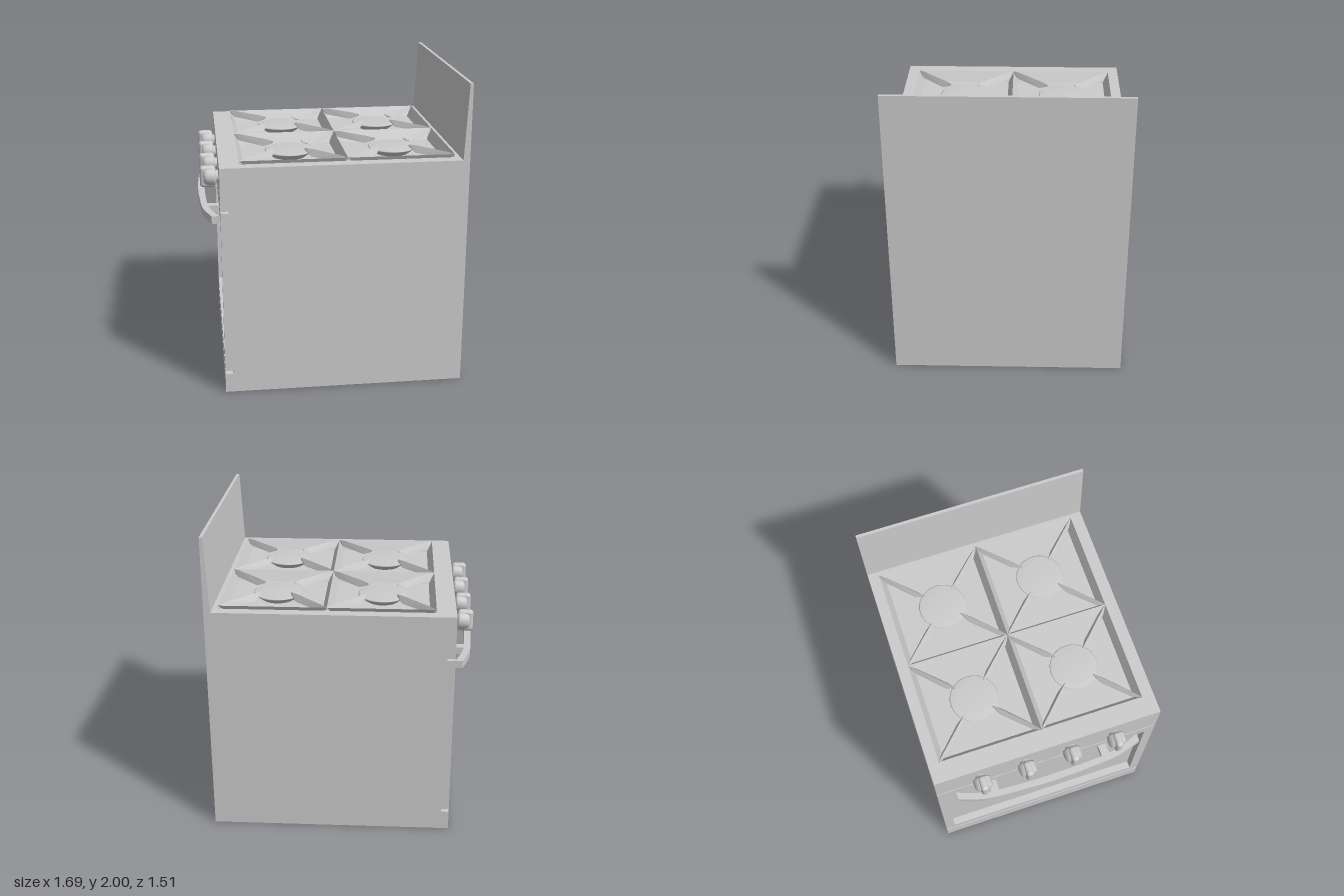
import * as THREE from 'three';
import { ConvexGeometry } from 'three/addons/geometries/ConvexGeometry.js';
import { RoundedBoxGeometry } from 'three/addons/geometries/RoundedBoxGeometry.js';

const flat = new THREE.MeshStandardMaterial({ color: 0xcccccc, flatShading: true });
const smooth = new THREE.MeshStandardMaterial({ color: 0xcccccc });
const sheet = new THREE.MeshStandardMaterial({ color: 0xcccccc, flatShading: true, side: THREE.DoubleSide });

const V2 = (x, y) => new THREE.Vector2(x, y);
const polygon = (pts) => new THREE.Shape(pts.map((p) => V2(...p)));
const rect = (x0, y0, x1, y1) => polygon([[x0, y0], [x1, y0], [x1, y1], [x0, y1]]);
const extrude = (shape, depth) => new THREE.ExtrudeGeometry(shape, { depth, bevelEnabled: false });

function add(parent, name, geometry, material, x = 0, y = 0, z = 0) {
  const mesh = new THREE.Mesh(geometry, material);
  mesh.name = name;
  mesh.position.set(x, y, z);
  parent.add(mesh);
  return mesh;
}

const HALF_Z = 0.755, DECK = 1.515, FLOOR = 1.465, RIM = 1.535;
const FRONT = -0.715, INNER = -0.665;
const CELL = 0.339, MID_X = 0.088, MID_Z = -0.005;

// Cabinet with splashback, a side profile run across the width
function addBody(stove) {
  const profile = polygon([
    [FRONT, 0], [0.845, 0], [0.845, 2], [0.825, 2], [0.802, DECK], [0.802, FLOOR], [FRONT, FLOOR],
    [FRONT, 1.24], [INNER, 1.24], [INNER, 0.128], [FRONT, 0.128],
  ]);
  add(stove, 'cabinet', extrude(profile, HALF_Z * 2), flat, 0, 0, -HALF_Z);

  // Rim of the hob around the sunken pans
  const deck = rect(FRONT, -HALF_Z, 0.802, HALF_Z);
  deck.holes.push(rect(MID_X - 2 * CELL, -MID_Z - 2 * CELL, MID_X + 2 * CELL, -MID_Z + 2 * CELL));
  add(stove, 'hobDeck', extrude(deck, DECK - FLOOR).rotateX(-Math.PI / 2), flat, 0, FLOOR, 0);

  // Oven door with recessed window
  const door = rect(-HALF_Z, 0.15, HALF_Z, 1.225);
  door.holes.push(rect(-0.69, 0.215, 0.69, 1.14));
  add(stove, 'ovenDoor', extrude(door, INNER - FRONT).rotateY(-Math.PI / 2), flat, INNER, 0, 0);
}

// Bowed handle on two posts
function addHandle(stove) {
  const handle = new THREE.Group();
  handle.name = 'doorHandle';
  const mirrorCurve = (half) => {
    const pts = [...half.map(([x, z]) => V2(x, -z)), ...half.slice(0, -1).reverse().map(([x, z]) => V2(x, z))];
    return new THREE.SplineCurve(pts).getPoints(20);
  };
  const outer = mirrorCurve([[-0.768, 0.63], [-0.82, 0.46], [-0.838, 0.24], [-0.846, 0]]);
  const inner = mirrorCurve([[-0.72, 0.63], [-0.765, 0.5], [-0.79, 0.36], [-0.802, 0]]);
  const bar = new THREE.Shape([...outer, ...inner.reverse()]);
  add(handle, 'handleBar', extrude(bar, 0.05).rotateX(Math.PI / 2), flat, 0, 1.17, 0);
  for (const s of [-1, 1]) {
    add(handle, 'handlePost', new THREE.BoxGeometry(0.09, 0.046, 0.055), flat, -0.758, 1.145, s * 0.385);
  }
  stove.add(handle);
}

// Four knobs along the control panel, each a turned cap with a grip bar
function addKnobs(stove) {
  const turned = [[0, 0.095], [0.04, 0.095], [0.052, 0.085], [0.057, 0.07], [0.06, 0.03], [0.055, 0.018],
    [0.036, 0.015], [0.036, 0]].reverse().map((p) => V2(...p));
  const cap = new THREE.LatheGeometry(turned, 24).rotateZ(Math.PI / 2);
  const grip = new RoundedBoxGeometry(0.1, 0.14, 0.05, 3, 0.022);
  for (const z of [-0.455, -0.155, 0.15, 0.45]) {
    const knob = new THREE.Group();
    knob.name = 'knob';
    knob.position.set(FRONT, 1.38, z);
    add(knob, 'knobCap', cap, smooth);
    add(knob, 'knobGrip', grip, smooth, -0.067);
    stove.add(knob);
  }
}

// Pointed support blade running from a pan corner toward the burner
function bladeGeometry() {
  const points = [];
  const section = (r, top, half, bottom) => {
    points.push(new THREE.Vector3(r, top, 0));
    for (const s of [-1, 1]) points.push(new THREE.Vector3(r, bottom, s * half));
  };
  section(0.478, RIM, 0.003, 1.52);
  section(0.42, 1.541, 0.016, 1.5);
  section(0.2, 1.543, 0.02, 1.5);
  section(0.134, 1.541, 0.003, 1.528);
  return new ConvexGeometry(points);
}

// Four sunken pans with burners and supports
function addHob(stove) {
  const depth = RIM - FLOOR;
  const walls = new THREE.CylinderGeometry(CELL * Math.SQRT2, (CELL - 0.035) * Math.SQRT2, depth, 4, 1, true)
    .rotateY(Math.PI / 4);
  const burner = new THREE.LatheGeometry(
    [[0.105, 0], [0.125, 0.015], [0.154, 0.038], [0.157, 0.043], [0.15, 0.047], [0.08, 0.051], [0, 0.052]]
      .map((p) => V2(...p)), 32);
  const blade = bladeGeometry();
  for (const sx of [-1, 1]) for (const sz of [-1, 1]) {
    const cell = new THREE.Group();
    cell.name = 'burnerPan';
    cell.position.set(MID_X + sx * CELL, FLOOR, MID_Z + sz * CELL);
    add(cell, 'panWalls', walls, sheet, 0, depth / 2, 0);
    add(cell, 'burner', burner, smooth);
    for (let i = 0; i < 4; i++) {
      add(cell, 'panSupport', blade, flat, 0, -FLOOR, 0).rotation.y = Math.PI / 4 + i * Math.PI / 2;
    }
    stove.add(cell);
  }
}

export function createModel() {
  const stove = new THREE.Group();
  stove.name = 'gasStove';
  addBody(stove);
  addHandle(stove);
  addKnobs(stove);
  addHob(stove);
  return stove;
}
